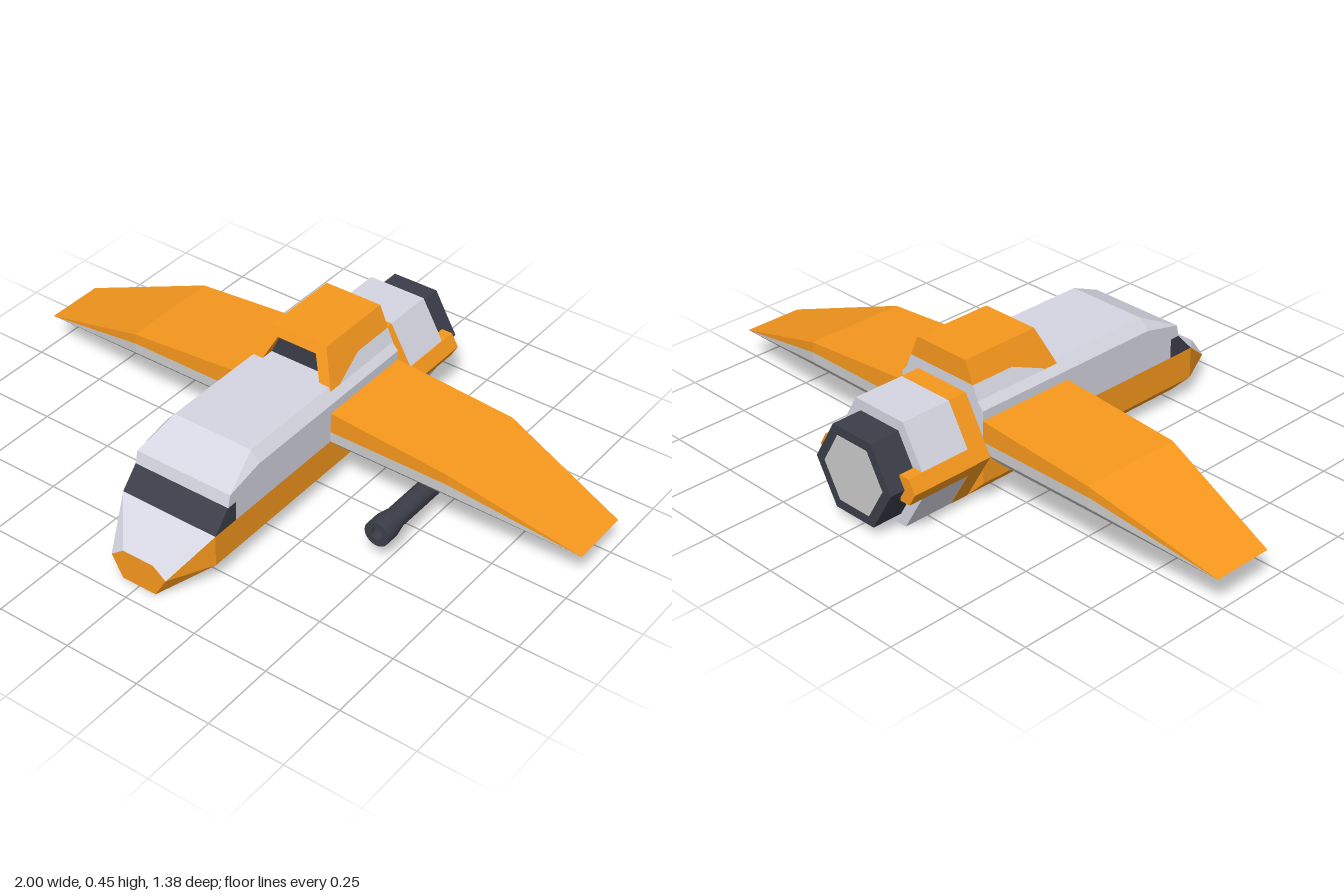
import * as THREE from 'three';
import { ConvexGeometry } from 'three/addons/geometries/ConvexGeometry.js';
import { toCreasedNormals } from 'three/addons/utils/BufferGeometryUtils.js';

const paint = (color, flatShading = true) => new THREE.MeshStandardMaterial({ color, flatShading });

export function createModel() {
  const model = new THREE.Group();
  const orange = paint(0xf7981d);
  const pale = paint(0xd6d6e2);
  const grey = paint(0xcccccc);
  const dark = paint(0x3b3d49);
  const metal = paint(0x3b3d49, false);

  const add = (name, geometry, material) => {
    const mesh = new THREE.Mesh(geometry, material);
    mesh.name = name;
    model.add(mesh);
    return mesh;
  };
  const hull = (name, material, points) =>
    add(name, new ConvexGeometry(points.map(p => new THREE.Vector3(...p))), material);
  // Convex block symmetric about x = 0, from the corners of its left half
  const block = (name, material, points) =>
    hull(name, material, points.flatMap(([x, y, z]) => [[x, y, z], [-x, y, z]]));

  // Fuselage
  const W = 0.17, back = -0.345;
  block('lowerFuselage', orange, [
    [0.1, 0, back], [W, 0.07, back], [W, 0.175, back],
    [0.1, 0, 0.55], [W, 0.07, 0.55], [W, 0.175, 0.55],
    [0.06, 0, 0.69], [0.1, 0.07, 0.69]]);
  block('noseCover', pale, [[W, 0.175, 0.55], [0.1, 0.07, 0.69], [0.055, 0.105, 0.69]]);
  block('nosePlate', orange, [0.685, 0.691].flatMap(z =>
    [[0.06, 0.001, z], [0.099, 0.07, z], [0.055, 0.104, z]]));
  block('windshield', dark, [
    [W, 0.175, 0.55], [W, 0.24, 0.49], [W, 0.24, 0.455], [W, 0.175, 0.455]]);
  block('fuselageSides', pale, [
    [W, 0.175, 0.455], [W, 0.24, 0.455], [W, 0.175, back], [W, 0.24, back]]);
  block('upperFuselage', pale, [
    [W, 0.24, 0.49], [W, 0.28, 0.48], [W, 0.31, 0.345], [0.14, 0.345, 0.345],
    [W, 0.24, back], [W, 0.31, back], [0.14, 0.345, back]]);

  // Wings: orange top and pale underside, each an inner panel and a tapered outer panel
  const upper = (x, top) => [[x, top, 0], [x, top, back], [x, 0.21, back], [x, 0.21, 0]];
  const lower = x => [[x, 0.21, 0], [x, 0.21, back], [x, 0.175, back],
    [x, 0.105, -0.275], [x, 0.105, -0.07], [x, 0.175, 0]];
  const tip = [[1, 0.105, -0.07], [1, 0.105, -0.275]];
  for (const [side, s] of [['left', 1], ['right', -1]]) {
    const flip = points => points.map(([x, y, z]) => [s * x, y, z]);
    hull(side + 'WingInnerTop', orange, flip([...upper(0.15, 0.28), ...upper(0.585, 0.245)]));
    hull(side + 'WingOuterTop', orange, flip([...upper(0.585, 0.245), ...tip]));
    hull(side + 'WingInnerUnderside', grey, flip([...lower(0.15), ...lower(0.585)]));
    hull(side + 'WingOuterUnderside', grey, flip([...lower(0.585), ...tip]));
  }

  // Dorsal intake: side profiles in (z, y) spread to sloping sides
  const halfWidth = y => 0.15 - (y - 0.335) * 0.05 / 0.115;
  const shapeOf = points => new THREE.Shape(points.map(p => new THREE.Vector2(...p)));
  const slopedPrism = (name, material, profile) => {
    const geometry = new THREE.ExtrudeGeometry(
      shapeOf(profile.map(([z, y]) => [-z, y])), { depth: 1, bevelEnabled: false });
    geometry.rotateY(Math.PI / 2);
    const p = geometry.attributes.position;
    for (let i = 0; i < p.count; i++) {
      const y = p.getY(i);
      p.setX(i, (p.getX(i) > 0.5 ? 1 : -1) * halfWidth(y));
    }
    geometry.computeVertexNormals();
    return add(name, geometry, material);
  };
  // The extrusion's rotated shape axis already points along +z for negated profiles
  slopedPrism('intakeHousing', orange, [
    [-0.078, 0.338], [-0.078, 0.45], [back, 0.45], [back, 0.38], [-0.19, 0.38]]);
  slopedPrism('intakeBase', pale, [
    [-0.078, 0.338], [-0.19, 0.38], [back, 0.38], [back, 0.335], [-0.078, 0.335]]);

  // Intake frame with a raked front edge
  const frame = new THREE.ExtrudeGeometry(shapeOf([
    [-0.15, 0.335], [-0.11, 0.335], [-0.07, 0.42], [0.07, 0.42],
    [0.11, 0.335], [0.15, 0.335], [0.1, 0.45], [-0.1, 0.45]]), { depth: 1, bevelEnabled: false });
  const fp = frame.attributes.position;
  for (let i = 0; i < fp.count; i++) {
    const rake = -0.025 - (fp.getY(i) - 0.335) * 0.045 / 0.115;
    fp.setZ(i, fp.getZ(i) > 0.5 ? rake : -0.078);
  }
  frame.computeVertexNormals();
  add('intakeFrame', frame, orange);
  block('intakeOpening', dark, [-0.085, -0.074].flatMap(z =>
    [[0.112, 0.336, z], [0.072, 0.422, z]]));

  // Engine: stacked hexagonal drums
  const drum = (name, material, radius, z0, z1) => {
    const g = new THREE.CylinderGeometry(radius, radius, z0 - z1, 6, 1, false, Math.PI / 6);
    g.rotateX(Math.PI / 2);
    add(name, g, material).position.set(0, 0.1725, (z0 + z1) / 2);
  };
  drum('engineCollar', orange, 0.2, -0.345, -0.41);
  drum('engineHousing', pale, 0.199, -0.405, -0.585);
  drum('engineNozzle', dark, 0.159, -0.58, -0.689);
  drum('exhaust', grey, 0.124, -0.68, -0.69);

  // Side clamps wrapped over the engine's outer corners
  for (const [side, s] of [['left', 1], ['right', -1]]) {
    hull(side + 'EngineClamp', orange, [-0.4, -0.638].flatMap(z => [
      [s * 0.202, 0.1725, z], [s * 0.178, 0.215, z], [s * 0.14, 0.215, z],
      [s * 0.14, 0.13, z], [s * 0.178, 0.13, z]]));
  }

  // Hollow cannon under the left wing
  const bore = [[0.02, -0.14], [0.033, -0.14], [0.033, 0.105], [0.042, 0.15],
    [0.042, 0.2], [0.02, 0.2], [0.02, -0.14]].map(p => new THREE.Vector2(...p));
  const cannon = toCreasedNormals(new THREE.LatheGeometry(bore, 24), 0.5);
  cannon.rotateX(Math.PI / 2);
  add('cannon', cannon, metal).position.set(0.48, 0.107, 0);

  return model;
}
